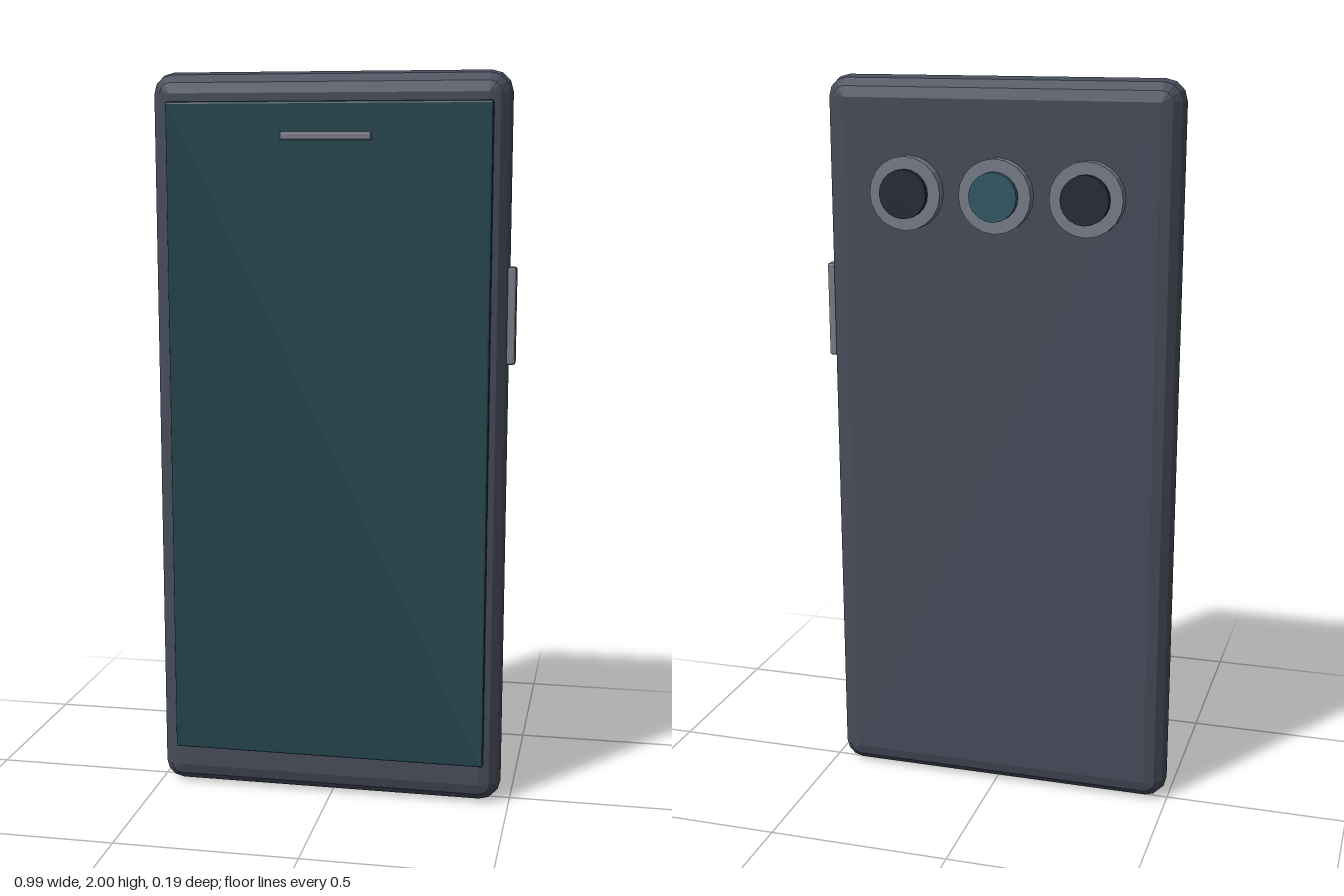
import * as THREE from 'three';
import { ConvexGeometry } from 'three/addons/geometries/ConvexGeometry.js';

const mat = (color) => new THREE.MeshStandardMaterial({ color, flatShading: true });
const shell = mat(0x474c5a);
const metal = mat(0x777c88);
const glass = mat(0x24444e);
const darkGlass = mat(0x242835);
const tealGlass = mat(0x2f5763);

// Box with rounded edges: the hull of a small sphere swept to the eight corners.
function roundedBox(w, h, d, r, steps) {
  const points = [];
  const a = Math.PI / 2 / steps;
  for (const sx of [-1, 1]) for (const sy of [-1, 1]) for (const sz of [-1, 1]) {
    for (let i = 0; i <= steps; i++) {
      for (let j = 0; j <= steps; j++) {
        const c = Math.cos(i * a);
        points.push(new THREE.Vector3(
          sx * (w / 2 - r + r * c * Math.cos(j * a)),
          sy * (h / 2 - r + r * c * Math.sin(j * a)),
          sz * (d / 2 - r + r * Math.sin(i * a))
        ));
        if (i === steps) break; // pole
      }
    }
  }
  return new ConvexGeometry(points);
}

export function createModel() {
  const phone = new THREE.Group();
  phone.name = 'phone';

  const add = (name, geometry, material, x, y, z) => {
    const mesh = new THREE.Mesh(geometry, material);
    mesh.name = name;
    mesh.position.set(x, y, z);
    phone.add(mesh);
    return mesh;
  };

  // Shell and front panel
  add('body', roundedBox(0.97, 2, 0.115, 0.057, 3), shell, -0.01, 1, 0.0125);
  add('screen', roundedBox(0.877, 1.806, 0.02, 0.006, 2), glass, -0.008, 1.018, 0.075);
  add('earpiece', roundedBox(0.245, 0.022, 0.014, 0.005, 2), metal, -0.01, 1.831, 0.084);

  // Button on the side edge
  add('sideButton', roundedBox(0.032, 0.26, 0.034, 0.006, 2), metal, 0.477, 1.36, 0.0125);

  // Row of three rear cameras, the middle one teal
  const disc = (radius, depth) => new THREE.CylinderGeometry(radius, radius, depth, 20).rotateX(Math.PI / 2);
  [-0.255, -0.01, 0.237].forEach((x, i) => {
    add('cameraRing' + (i + 1), disc(0.098, 0.04), metal, x, 1.697, -0.058);
    add('cameraLens' + (i + 1), disc(0.065, 0.03), i === 1 ? tealGlass : darkGlass, x, 1.697, -0.082);
  });

  return phone;
}
